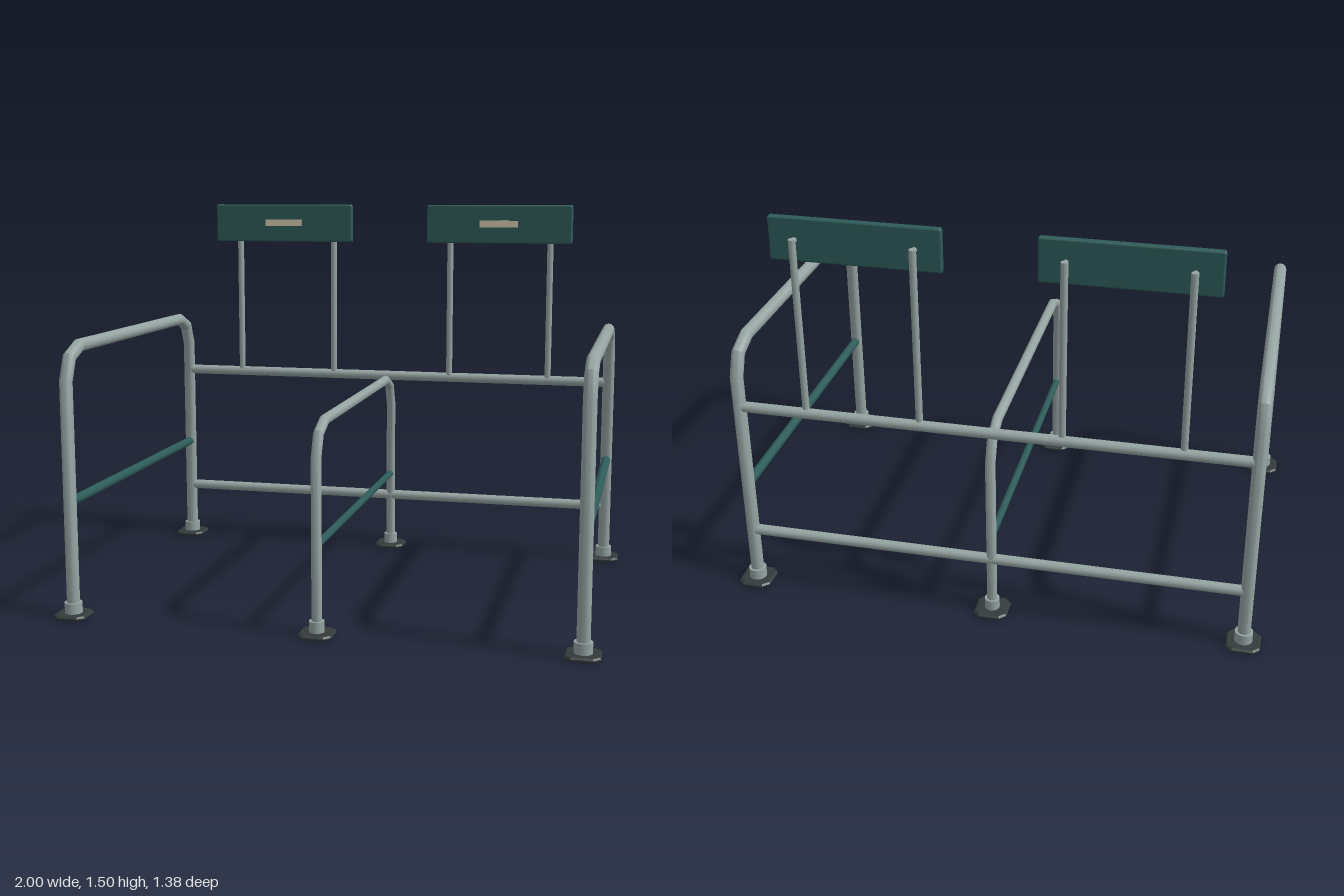
import * as THREE from 'three';
import { toCreasedNormals } from 'three/addons/utils/BufferGeometryUtils.js';
import { RoundedBoxGeometry } from 'three/addons/geometries/RoundedBoxGeometry.js';

const LEG_Z = 0.627;

function material(name, color) {
  const m = new THREE.MeshStandardMaterial({ color });
  m.name = name;
  return m;
}

// Sweep a round section along [z, y] points, with mitred joints.
function mitredTube(points, radius, sides = 16) {
  const pts = points.map(([z, y]) => new THREE.Vector2(z, y));
  const pos = [], index = [];
  pts.forEach((p, i) => {
    const before = p.clone().sub(pts[Math.max(i - 1, 0)]).normalize();
    const after = pts[Math.min(i + 1, pts.length - 1)].clone().sub(p).normalize();
    const dir = before.clone().add(after).normalize();
    const end = i === 0 || i === pts.length - 1;
    const stretch = end ? 1 : 1 / dir.dot(after);
    for (let j = 0; j < sides; j++) {
      const a = (j / sides) * Math.PI * 2;
      const s = Math.sin(a) * radius * stretch;
      pos.push(Math.cos(a) * radius, p.y + dir.x * s, p.x - dir.y * s);
      if (i > 0) {
        const k = (j + 1) % sides, r0 = (i - 1) * sides, r1 = i * sides;
        index.push(r0 + j, r0 + k, r1 + j, r0 + k, r1 + k, r1 + j);
      }
    }
  });
  const g = new THREE.BufferGeometry();
  g.setAttribute('position', new THREE.Float32BufferAttribute(pos, 3));
  g.setIndex(index);
  return toCreasedNormals(g, 0.6);
}

// Square floor plate with cut corners and a bevelled rim.
function footPlateGeometry() {
  const b = 0.006, h = 0.0625 - b, c = h - 0.02;
  const outline = [[h, -c], [h, c], [c, h], [-c, h], [-h, c], [-h, -c], [-c, -h], [c, -h]];
  const shape = new THREE.Shape(outline.map(([x, y]) => new THREE.Vector2(x, y)));
  const g = new THREE.ExtrudeGeometry(shape, {
    depth: 0.004, bevelEnabled: true, bevelSize: b, bevelThickness: b, bevelSegments: 1,
  });
  g.rotateX(-Math.PI / 2);
  g.translate(0, b, 0);
  return g;
}

export function createModel() {
  const model = new THREE.Group();
  model.name = 'stallFrame';
  const steel = material('galvanisedSteel', 0x95a4a2);
  const green = material('darkGreen', 0x2d5b59);
  const dark = material('darkFoot', 0x343b3b);
  const cream = material('cream', 0xd2c8b0);

  function add(name, geometry, mat, x = 0, y = 0, z = 0, parent = model) {
    const mesh = new THREE.Mesh(geometry, mat);
    mesh.name = name;
    mesh.position.set(x, y, z);
    parent.add(mesh);
    return mesh;
  }

  const plate = footPlateGeometry();

  // Hoop with bent shoulders, green cross bar and two feet.
  function addHoop(name, x, radius, top, barY, barRadius) {
    const hoop = new THREE.Group();
    hoop.name = name;
    hoop.position.x = x;
    model.add(hoop);
    const half = [[LEG_Z, 0.01], [LEG_Z, top - 0.117], [LEG_Z - 0.035, top - 0.035], [LEG_Z - 0.117, top]];
    const path = [...half, ...half.map(([z, y]) => [-z, y]).reverse()];
    const tube = add('hoopTube', mitredTube(path, radius), steel, 0, 0, 0, hoop);
    tube.material.side = THREE.DoubleSide;
    const bar = new THREE.CylinderGeometry(barRadius, barRadius, LEG_Z * 2 - 0.02, 16);
    bar.rotateX(Math.PI / 2);
    add('crossBar', bar, green, 0, barY, 0, hoop);
    for (const z of [-LEG_Z, LEG_Z]) {
      add('footPlate', plate, dark, 0, 0, z, hoop);
      add('footSleeve', new THREE.CylinderGeometry(radius + 0.009, radius + 0.009, 0.042, 20), steel, 0, 0.035, z, hoop);
    }
  }
  addHoop('leftHoop', 0.936, 0.024, 1.001, 0.435, 0.018);
  addHoop('rightHoop', -0.936, 0.024, 1.001, 0.435, 0.018);
  addHoop('middleHoop', 0, 0.019, 0.76, 0.33, 0.014);

  // Two rails across the back.
  for (const [name, y] of [['upperRail', 0.765], ['lowerRail', 0.232]]) {
    const rail = new THREE.CylinderGeometry(0.02, 0.02, 1.85, 16);
    rail.rotateZ(Math.PI / 2);
    add(name, rail, steel, 0, y, -LEG_Z);
  }

  // A board on two posts above each bay.
  for (const side of [-1, 1]) {
    const board = new THREE.Group();
    board.name = side > 0 ? 'leftBoard' : 'rightBoard';
    board.position.x = side * 0.469;
    model.add(board);
    add('panel', new RoundedBoxGeometry(0.612, 0.16, 0.028, 2, 0.008), green, 0, 1.425, -0.587, board);
    add('panelPlate', new THREE.BoxGeometry(0.16, 0.028, 0.008), cream, 0, 1.426, -0.569, board);
    for (const px of [-0.212, 0.212]) {
      add('post', new THREE.CylinderGeometry(0.013, 0.013, 0.67, 14), steel, px, 1.1, -0.623, board);
      const fixing = new THREE.CylinderGeometry(0.01, 0.01, 0.03, 12);
      fixing.rotateX(Math.PI / 2);
      add('fixing', fixing, steel, px, 1.425, -0.609, board);
    }
  }
  return model;
}
